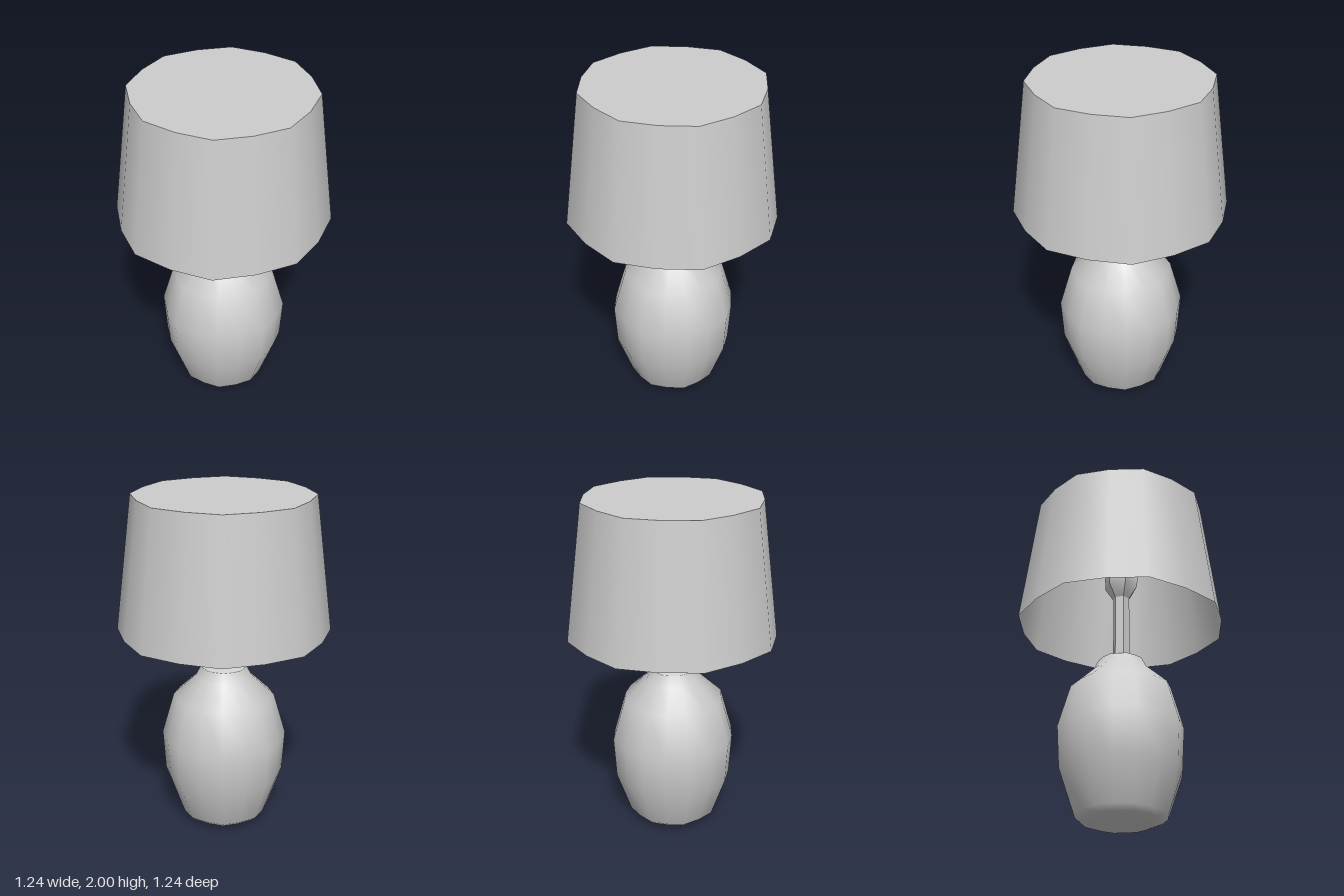
import * as THREE from 'three';
import { toCreasedNormals } from 'three/addons/utils/BufferGeometryUtils.js';

// Turned form; every other column is pulled in slightly by `pinch`
function turned(profile, sides, pinch = 1, start = 0) {
  const points = profile.map(([r, y]) => new THREE.Vector2(r, y));
  const geometry = new THREE.LatheGeometry(points, sides, start);
  const pos = geometry.attributes.position;
  for (let i = 0; i < pos.count; i++) {
    if (Math.floor(i / points.length) % 2) {
      pos.setX(i, pos.getX(i) * pinch);
      pos.setZ(i, pos.getZ(i) * pinch);
    }
  }
  return geometry;
}

export function createModel() {
  const lamp = new THREE.Group();
  lamp.name = 'tableLamp';
  const grey = new THREE.MeshStandardMaterial({ color: 0xcccccc, side: THREE.DoubleSide });
  grey.name = 'light grey';

  const add = (name, geometry) => {
    const mesh = new THREE.Mesh(geometry, grey);
    mesh.name = name;
    lamp.add(mesh);
  };

  // Rounded vase base
  add('base', turned([
    [0, 0], [0.18, 0], [0.235, 0.02], [0.27, 0.05], [0.357, 0.3],
    [0.372, 0.545], [0.3, 0.795], [0.165, 0.92], [0.135, 0.98],
  ], 16, 0.965));

  // Sloping collar between base and stem
  add('collar', turned([[0.135, 0.98], [0.05, 1.02], [0, 1.02]], 16, 0.965));

  // Six-sided stem, flaring into the bulb inside the shade
  const hex = (profile) => toCreasedNormals(turned(profile, 6, 1, Math.PI / 2), 0.7);
  add('stem', hex([[0.05, 1.01], [0.05, 1.4]]));
  add('bulb', hex([[0.05, 1.4], [0.1, 1.48], [0.105, 1.57], [0.07, 1.65], [0, 1.68]]));

  // Tapered shade, open below and closed on top
  add('shade', turned([[0.622, 1.21], [0.52, 2]], 16, 0.965));
  add('shadeTop', turned([[0.52, 2], [0, 2]], 16, 0.965));

  return lamp;
}
